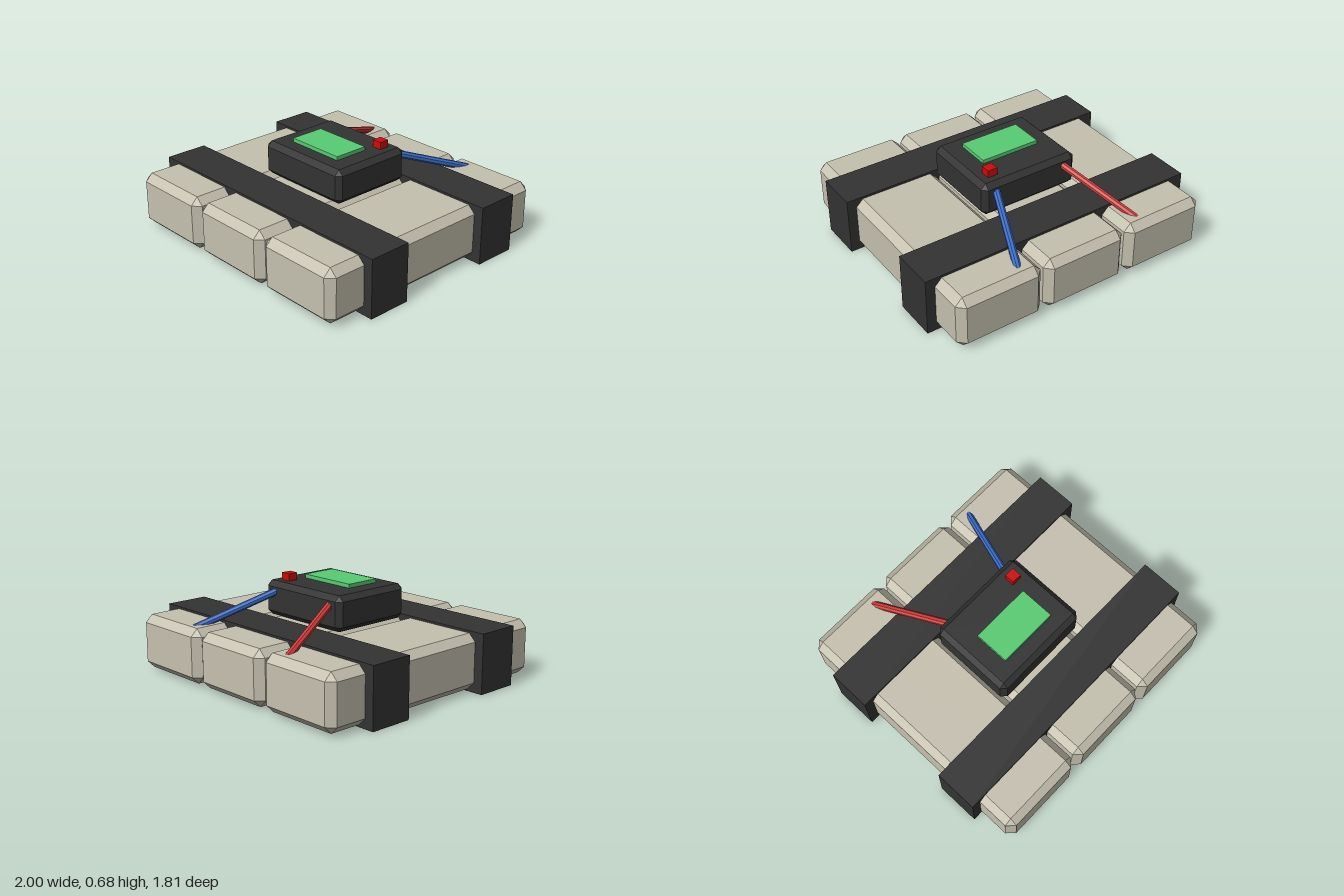
import * as THREE from 'three';
import { ConvexGeometry } from 'three/addons/geometries/ConvexGeometry.js';

const mat = (name, color, flatShading = false) =>
  Object.assign(new THREE.MeshStandardMaterial({ color }), { name, flatShading });

// Box with every edge cut at 45 degrees and triangular corners
function chamferBox(w, h, d, c) {
  const points = [];
  for (const x of [-1, 1]) for (const y of [-1, 1]) for (const z of [-1, 1]) {
    const X = w / 2, Y = h / 2, Z = d / 2;
    points.push(
      new THREE.Vector3(x * X, y * (Y - c), z * (Z - c)),
      new THREE.Vector3(x * (X - c), y * Y, z * (Z - c)),
      new THREE.Vector3(x * (X - c), y * (Y - c), z * Z));
  }
  return new ConvexGeometry(points);
}

export function createModel() {
  const group = new THREE.Group();
  const clay = mat('clay beige', 0xc6c1b0);
  const black = mat('black', 0x333333);
  const green = mat('screen green', 0x58cc74);
  const red = mat('button red', 0xcc0c0c);
  const wireRed = mat('wire red', 0xd23c3c, true);
  const wireBlue = mat('wire blue', 0x3c6ecc, true);

  const add = (name, geometry, material, x, y, z) => {
    const mesh = new THREE.Mesh(geometry, material);
    mesh.name = name;
    mesh.position.set(x, y, z);
    group.add(mesh);
    return mesh;
  };

  // Three blocks side by side
  const blockGeometry = chamferBox(0.61, 0.37, 1.81, 0.05);
  ['rightBlock', 'middleBlock', 'leftBlock'].forEach((name, i) =>
    add(name, blockGeometry, clay, (i - 1) * 0.63, 0.2, 0));

  // Straps around the blocks
  const strapGeometry = new THREE.BoxGeometry(2, 0.4, 0.3);
  add('frontStrap', strapGeometry, black, 0, 0.2, 0.485);
  add('backStrap', strapGeometry, black, 0, 0.2, -0.485);

  // Control box with screen and button
  add('controlBox', chamferBox(0.72, 0.235, 0.6, 0.035), black, 0, 0.5075, 0);
  add('screen', new THREE.BoxGeometry(0.425, 0.04, 0.245), green, 0, 0.631, 0.0525);
  add('button', new THREE.BoxGeometry(0.07, 0.07, 0.07), red, 0.24, 0.64, -0.185);

  // Wires running from the box into the outer blocks
  for (const [name, side, material] of [['leftWire', 1, wireBlue], ['rightWire', -1, wireRed]]) {
    const start = new THREE.Vector3(side * 0.245, 0.573, -0.25);
    const end = new THREE.Vector3(side * 0.475, 0.35, -0.85);
    const along = end.clone().sub(start);
    const middle = start.clone().lerp(end, 0.5);
    const wire = add(name, new THREE.CylinderGeometry(0.025, 0.025, along.length(), 8),
      material, middle.x, middle.y, middle.z);
    wire.quaternion.setFromUnitVectors(new THREE.Vector3(0, 1, 0), along.normalize());
  }
  return group;
}
